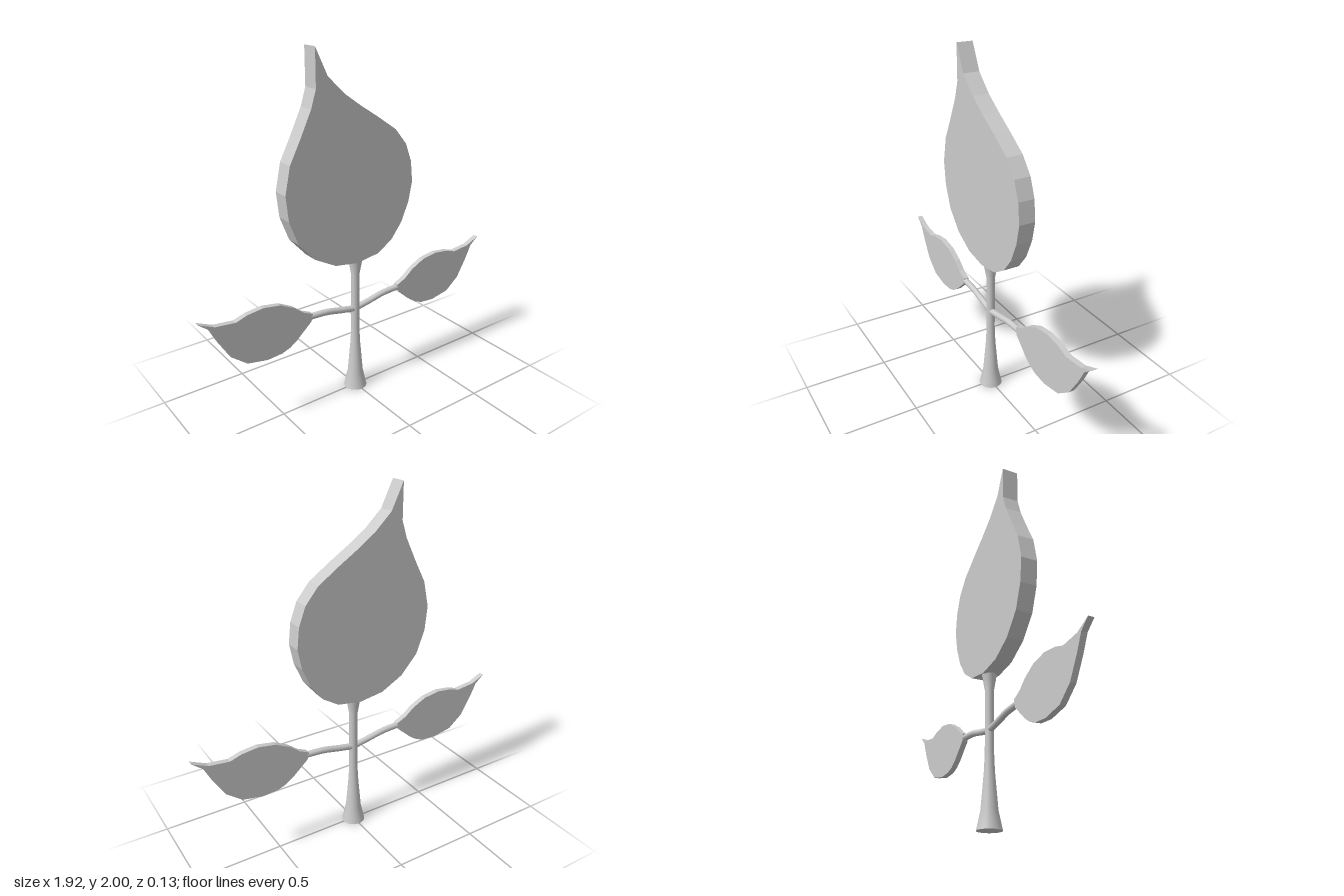
import * as THREE from 'three';

const material = new THREE.MeshStandardMaterial({ color: 0xcccccc, side: THREE.DoubleSide });

function addMesh(parent, name, geometry) {
  const mesh = new THREE.Mesh(geometry, material);
  mesh.name = name;
  parent.add(mesh);
  return mesh;
}

// Flat plate with the given outline, centred on z = 0
function plate(points, depth) {
  const shape = new THREE.Shape(points.map(([x, y]) => new THREE.Vector2(x, y)));
  const geometry = new THREE.ExtrudeGeometry(shape, { depth, bevelEnabled: false });
  return geometry.translate(0, 0, -depth / 2);
}

const budOutline = [
  [-0.27, 2], [-0.27, 1.8], [-0.3, 1.705], [-0.365, 1.57], [-0.43, 1.445], [-0.462, 1.295],
  [-0.447, 1.155], [-0.395, 1.02], [-0.295, 0.91], [-0.165, 0.84], [-0.02, 0.818],
  [0.125, 0.84], [0.22, 0.9], [0.29, 0.99], [0.34, 1.105], [0.363, 1.22], [0.35, 1.34],
  [0.31, 1.445], [0.235, 1.535], [0.11, 1.62], [0, 1.69], [-0.1, 1.76], [-0.2, 1.855],
];

const leafOutline = [
  [0.3, 0.577], [0.31, 0.535], [0.405, 0.45], [0.45, 0.42], [0.5, 0.402], [0.59, 0.395],
  [0.71, 0.418], [0.8, 0.49], [0.865, 0.6], [0.905, 0.683], [0.962, 0.73], [0.875, 0.69],
  [0.76, 0.677], [0.695, 0.698], [0.6, 0.709], [0.5, 0.693], [0.415, 0.65], [0.36, 0.605],
];

export function createModel() {
  const model = new THREE.Group();
  model.name = 'plant';

  // Stem flaring at the foot and under the bud
  const profile = [[0, 0], [0.067, 0], [0.067, 0], [0.045, 0.1], [0.028, 0.3], [0.024, 0.4],
    [0.024, 0.73], [0.04, 0.82], [0.04, 0.83], [0, 0.83]];
  addMesh(model, 'stem', new THREE.LatheGeometry(
    profile.map(([r, y]) => new THREE.Vector2(r, y)), 24));

  // Teardrop bud with a curled tip
  addMesh(model, 'bud', plate(budOutline, 0.094));

  // A branch and a leaf on each side
  for (const side of [1, -1]) {
    const name = side > 0 ? 'left' : 'right';
    const path = new THREE.CatmullRomCurve3([[0, 0.512], [0.1, 0.53], [0.2, 0.55], [0.31, 0.557]]
      .map(([x, y]) => new THREE.Vector3(side * x, y, 0)));
    addMesh(model, name + 'Branch', new THREE.TubeGeometry(path, 12, 0.018, 12));
    const outline = leafOutline.map(([x, y]) => [side * x, y]);
    addMesh(model, name + 'Leaf', plate(outline, 0.032));
  }
  return model;
}
